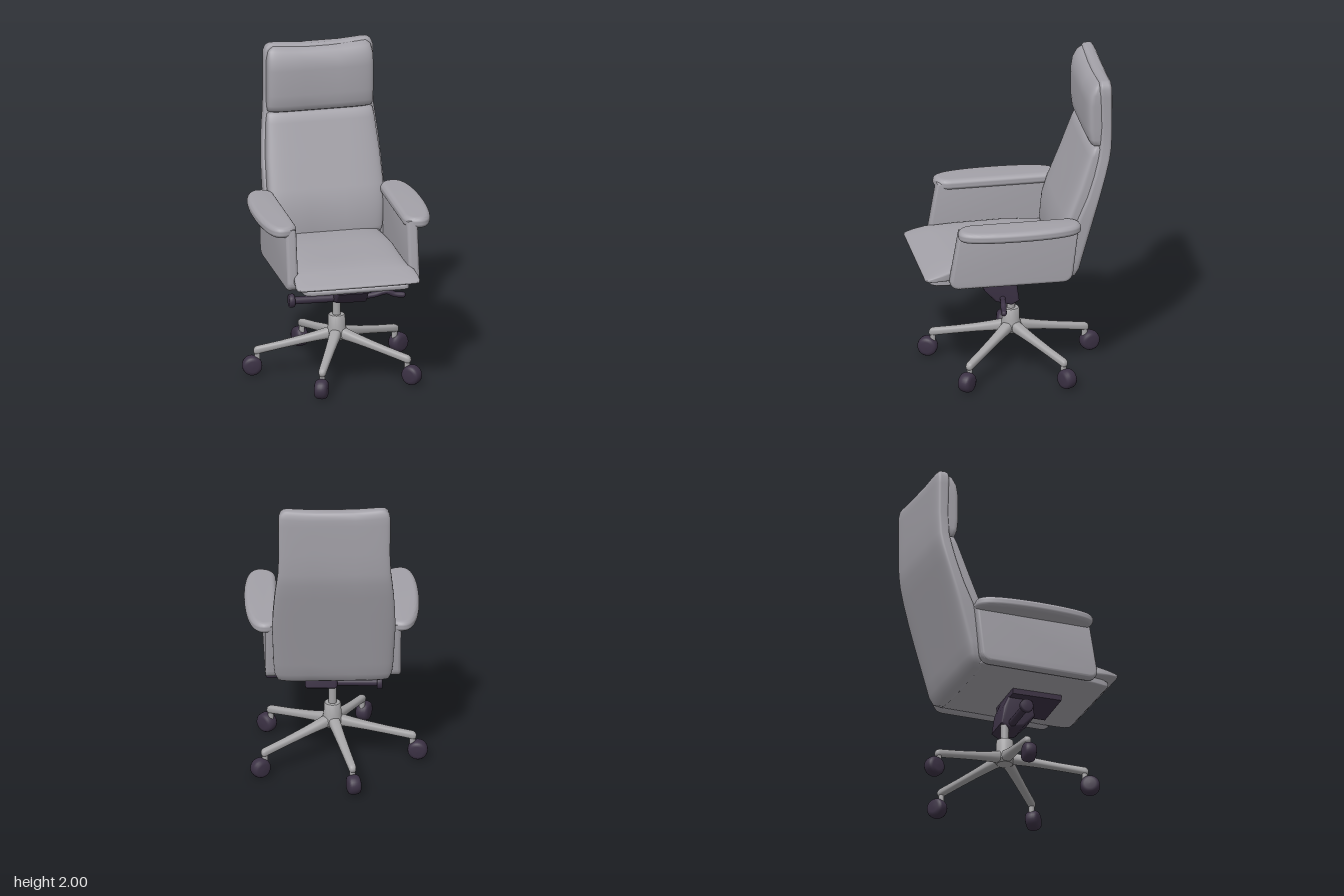
import * as THREE from 'three';
import { toCreasedNormals } from 'three/addons/utils/BufferGeometryUtils.js';

const mat = (name, color) => {
  const m = new THREE.MeshStandardMaterial({ color });
  m.name = name;
  return m;
};

// Skin of rounded sections [t, halfWidth, low, high] along the y or z axis (t increasing)
function loft(sections, axis, power = 5, n = 56) {
  const pos = [], idx = [];
  const put = (x, v, t) => (axis === 'y' ? pos.push(x, t, v) : pos.push(x, v, t));
  const tri = (a, b, c) => (axis === 'y' ? idx.push(a, c, b) : idx.push(a, b, c));
  const round = (k) => Math.sign(k) * Math.abs(k) ** (2 / power);
  for (const [t, w, lo, hi] of sections) {
    for (let j = 0; j < n; j++) {
      const a = ((j + 0.5) / n) * Math.PI * 2;
      put(w * round(Math.cos(a)), (lo + hi) / 2 + ((hi - lo) / 2) * round(Math.sin(a)), t);
    }
  }
  const last = sections.length - 1;
  for (let i = 0; i < last; i++) {
    for (let j = 0; j < n; j++) {
      const a = i * n + j, b = i * n + ((j + 1) % n);
      tri(a, b, b + n);
      tri(a, b + n, a + n);
    }
  }
  for (const i of [0, last]) {
    const [t, , lo, hi] = sections[i];
    const c = pos.length / 3;
    put(0, (lo + hi) / 2, t);
    for (let j = 0; j < n; j++) {
      const a = i * n + j, b = i * n + ((j + 1) % n);
      if (i) tri(c, a, b);
      else tri(c, b, a);
    }
  }
  const g = new THREE.BufferGeometry();
  g.setAttribute('position', new THREE.Float32BufferAttribute(pos, 3));
  g.setIndex(idx);
  g.computeVertexNormals();
  return g;
}

// Slight dip in the middle of the upper edge of the backrest
function dipTop(g) {
  const p = g.attributes.position;
  for (let i = 0; i < p.count; i++) {
    const k = THREE.MathUtils.smoothstep(p.getY(i), 1.85, 2);
    p.setY(i, p.getY(i) - 0.016 * k * Math.max(0, 1 - (p.getX(i) / 0.3) ** 2));
  }
  g.computeVertexNormals();
  return g;
}

function extrude(shape, depth, bevel, steps = 6) {
  const g = new THREE.ExtrudeGeometry(shape, {
    depth, bevelThickness: bevel, bevelSize: bevel, bevelSegments: steps, curveSegments: 14,
  });
  g.translate(0, 0, -depth / 2);
  return toCreasedNormals(g, 0.8);
}

const lathe = (pts, seg = 32) =>
  new THREE.LatheGeometry(pts.map(([x, y]) => new THREE.Vector2(x, y)), seg);

export function createModel() {
  const leather = mat('grey leather', 0xa3a1a8);
  const metal = mat('brushed metal', 0xa5a4a6);
  const dark = mat('dark plastic', 0x3b3144);

  const model = new THREE.Group();
  model.name = 'officeChair';
  const add = (parent, name, geo, material, x = 0, y = 0, z = 0) => {
    const m = new THREE.Mesh(geo, material);
    m.name = name;
    m.position.set(x, y, z);
    parent.add(m);
    return m;
  };

  // Upholstered part, swivelled slightly on the base
  const upper = new THREE.Group();
  upper.name = 'upholstery';
  upper.position.x = 0.025;
  upper.rotation.y = 0.04;
  model.add(upper);

  add(upper, 'backShell', dipTop(loft([
    [0.695, 0.3, -0.345, -0.29], [0.71, 0.345, -0.365, -0.27], [0.76, 0.365, -0.39, -0.26],
    [0.84, 0.373, -0.41, -0.265], [1.1, 0.383, -0.48, -0.35], [1.24, 0.38, -0.517, -0.415],
    [1.38, 0.371, -0.555, -0.462], [1.48, 0.361, -0.58, -0.487], [1.56, 0.352, -0.592, -0.503],
    [1.7, 0.346, -0.597, -0.51], [1.9, 0.349, -0.597, -0.505], [1.95, 0.347, -0.596, -0.502],
    [1.98, 0.336, -0.591, -0.506], [1.995, 0.318, -0.58, -0.515], [2.0, 0.295, -0.57, -0.525],
  ], 'y', 6)), leather);
  add(upper, 'backCushion', loft([
    [0.78, 0.33, -0.35, -0.25], [0.85, 0.35, -0.36, -0.235], [1.0, 0.362, -0.4, -0.25],
    [1.11, 0.367, -0.43, -0.287], [1.3, 0.36, -0.5, -0.362], [1.5, 0.343, -0.55, -0.435],
    [1.55, 0.335, -0.56, -0.457], [1.563, 0.31, -0.56, -0.49],
  ], 'y'), leather);
  add(upper, 'headCushion', dipTop(loft([
    [1.56, 0.31, -0.56, -0.48], [1.572, 0.332, -0.565, -0.455], [1.61, 0.336, -0.57, -0.438],
    [1.68, 0.337, -0.57, -0.43], [1.84, 0.338, -0.57, -0.43], [1.91, 0.336, -0.57, -0.442],
    [1.96, 0.326, -0.57, -0.47], [1.985, 0.3, -0.565, -0.5],
  ], 'y')), leather);

  add(upper, 'seatCushion', loft([
    [-0.3, 0.33, 0.72, 0.84], [0, 0.348, 0.72, 0.85], [0.3, 0.35, 0.72, 0.845],
    [0.41, 0.358, 0.728, 0.834], [0.46, 0.384, 0.735, 0.82], [0.53, 0.392, 0.74, 0.797],
    [0.575, 0.391, 0.744, 0.78], [0.594, 0.384, 0.749, 0.77], [0.6, 0.365, 0.756, 0.763],
  ], 'z'), leather);
  add(upper, 'seatShell', loft([
    [-0.33, 0.34, 0.705, 0.76], [-0.3, 0.352, 0.7, 0.77], [0.38, 0.352, 0.7, 0.77],
    [0.46, 0.345, 0.698, 0.76], [0.52, 0.335, 0.697, 0.75], [0.55, 0.325, 0.703, 0.74],
    [0.56, 0.31, 0.712, 0.73],
  ], 'z', 8), leather);

  // Armrests: upright side panel and overhanging D-shaped pad
  const b = 0.02;
  const panel = new THREE.Shape();
  panel.moveTo(0.375, 1.07);
  panel.lineTo(0.428, 0.76);
  panel.quadraticCurveTo(0.432, 0.725, 0.39, 0.722);
  panel.lineTo(-0.26, 0.72);
  panel.quadraticCurveTo(-0.3, 0.72, -0.308, 0.76);
  panel.lineTo(-0.345, 1.07);
  const panelGeo = extrude(panel, 0.03, b).rotateY(-Math.PI / 2);

  const pad = new THREE.Shape();
  pad.moveTo(0.372, 0.3);
  pad.lineTo(0.372, -0.28);
  pad.quadraticCurveTo(0.372, -0.34, 0.43, -0.34);
  pad.bezierCurveTo(0.49, -0.34, 0.51, -0.15, 0.51, 0.02);
  pad.bezierCurveTo(0.51, 0.2, 0.49, 0.37, 0.44, 0.37);
  pad.quadraticCurveTo(0.372, 0.37, 0.372, 0.3);
  const padGeo = extrude(pad, 0.004, 0.033, 8).rotateX(Math.PI / 2);

  for (const [side, s] of [['left', 1], ['right', -1]]) {
    add(upper, side + 'ArmPanel', panelGeo, leather, s * 0.387);
    const p = add(upper, side + 'ArmPad', padGeo, leather, 0, 1.075);
    if (s < 0) p.rotation.z = Math.PI;
  }

  // Tilt mechanism under the seat
  const mech = new THREE.Group();
  mech.name = 'tiltMechanism';
  model.add(mech);
  add(mech, 'mountPlate', new THREE.BoxGeometry(0.31, 0.04, 0.32), dark, 0.08, 0.685, 0.17);
  const body = new THREE.Shape([
    [0.15, 0.67], [0.165, 0.57], [0.1, 0.5], [0.01, 0.475], [-0.025, 0.495], [-0.01, 0.6], [0.02, 0.67],
  ].map(([z, y]) => new THREE.Vector2(z, y)));
  add(mech, 'mechanismBody', extrude(body, 0.17, 0.015, 3).rotateY(-Math.PI / 2), dark, 0.09);
  add(mech, 'tensionBar', new THREE.CylinderGeometry(0.024, 0.024, 0.25, 20).rotateZ(Math.PI / 2), dark, -0.135, 0.495, 0.03);
  add(mech, 'tensionKnob', lathe([[0, -0.018], [0.038, -0.018], [0.043, -0.01], [0.043, 0.01], [0.038, 0.018], [0, 0.018]], 20)
    .rotateZ(Math.PI / 2), dark, -0.273, 0.495, 0.03);
  const leverPath = new THREE.CatmullRomCurve3([
    [0.12, 0.5, 0.06], [0.24, 0.515, 0.07], [0.32, 0.535, 0.08], [0.37, 0.515, 0.085], [0.42, 0.51, 0.09],
  ].map((p) => new THREE.Vector3(...p)));
  add(mech, 'heightLever', new THREE.TubeGeometry(leverPath, 24, 0.018, 12), dark);
  add(mech, 'leverTip', new THREE.SphereGeometry(0.018, 12, 8), dark, 0.42, 0.51, 0.09);

  // Five-star base with gas column
  const base = new THREE.Group();
  base.name = 'base';
  base.position.set(0.02, 0, -0.01);
  model.add(base);
  add(base, 'gasColumn', new THREE.CylinderGeometry(0.025, 0.025, 0.16, 24), metal, 0, 0.43);
  add(base, 'hub', toCreasedNormals(lathe([
    [0, 0.215], [0.05, 0.215], [0.066, 0.235], [0.064, 0.27], [0.055, 0.3], [0.053, 0.37], [0.048, 0.376], [0, 0.376],
  ]), 0.7), metal);

  const legGeo = loft([
    [0, 0.036, 0.22, 0.295], [0.06, 0.036, 0.217, 0.288], [0.13, 0.033, 0.208, 0.267],
    [0.22, 0.03, 0.193, 0.244], [0.35, 0.027, 0.168, 0.215], [0.46, 0.025, 0.145, 0.194],
    [0.5, 0.024, 0.136, 0.187], [0.515, 0.019, 0.138, 0.178], [0.521, 0.01, 0.148, 0.166],
  ], 'z', 2.6, 24);
  const wheelGeo = lathe([
    [0, -0.043], [0.035, -0.042], [0.052, -0.036], [0.06, -0.024], [0.063, -0.008],
    [0.063, 0.008], [0.06, 0.024], [0.052, 0.036], [0.035, 0.042], [0, 0.043],
  ], 28).rotateZ(Math.PI / 2);
  for (let i = 0; i < 5; i++) {
    const arm = new THREE.Group();
    arm.name = 'baseArm' + (i + 1);
    arm.rotation.y = -THREE.MathUtils.degToRad(21 + 72 * i);
    base.add(arm);
    add(arm, 'leg', legGeo, metal);
    add(arm, 'casterStem', new THREE.CylinderGeometry(0.018, 0.018, 0.06, 16), metal, 0, 0.12, 0.497);
    add(arm, 'casterWheel', wheelGeo, dark, 0, 0.063, 0.53);
  }
  return model;
}
